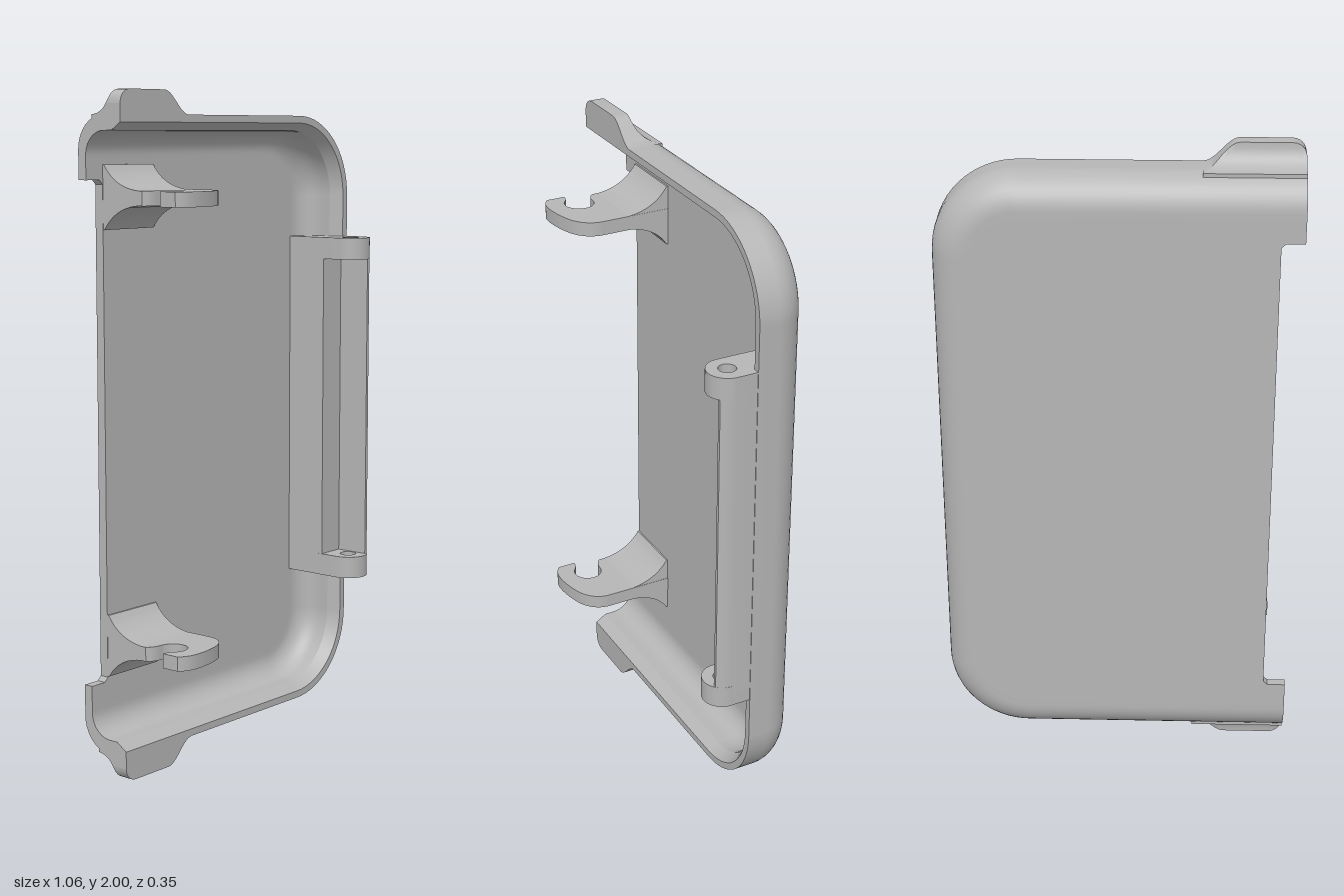
import * as THREE from 'three';
import { mergeGeometries, toCreasedNormals } from 'three/addons/utils/BufferGeometryUtils.js';

const LEFT = -0.53, RIGHT = 0.53, TOP = 1.93, BOTTOM = 0.07, CORNER = 0.25;
const RIM = -0.01, BACK = -0.174, FLOOR = -0.145;

const grey = new THREE.MeshStandardMaterial({ color: 0xb6b6b6, side: THREE.DoubleSide });
grey.name = 'grey plastic';

function mesh(name, geometry) {
  const m = new THREE.Mesh(geometry, grey);
  m.name = name;
  return m;
}

// U-shaped outline, inset by d: along the top, round the right end, back along the bottom
function outline(d) {
  const pts = [[LEFT, TOP - d]], n = 16, r = CORNER - d, cx = RIGHT - CORNER;
  for (const [cy, start] of [[TOP - CORNER, Math.PI / 2], [BOTTOM + CORNER, 0]])
    for (let i = 0; i <= n; i++) {
      const a = start - (i / n) * Math.PI / 2;
      pts.push([cx + r * Math.cos(a), cy + r * Math.sin(a)]);
    }
  pts.push([LEFT, BOTTOM + d]);
  return pts;
}

// Surface through rows of points, all rows equally long
function loft(rows) {
  const w = rows[0].length, index = [];
  for (let j = 0; j < rows.length - 1; j++)
    for (let i = 0; i < w - 1; i++) {
      const a = j * w + i, d = a + w;
      index.push(a, a + 1, d + 1, a, d + 1, d);
    }
  const g = new THREE.BufferGeometry();
  g.setAttribute('position', new THREE.Float32BufferAttribute(rows.flat(2), 3));
  g.setIndex(index);
  g.computeVertexNormals();
  return g;
}

const sweep = profile => loft(profile.map(([d, z]) => outline(d).map(([x, y]) => [x, y, z])));

// Quarter arc in (inset, z)
function arc(cd, cz, r, from, to, n = 10) {
  return Array.from({ length: n + 1 }, (_, i) => {
    const a = from + (to - from) * i / n;
    return [cd + r * Math.cos(a), cz + r * Math.sin(a)];
  });
}

const polygon = pts => new THREE.Shape(pts.map(([x, y]) => new THREE.Vector2(x, y)));
const extrude = (shape, depth) =>
  toCreasedNormals(new THREE.ExtrudeGeometry(shape, { depth, bevelEnabled: false, curveSegments: 20 }), 0.5);
// Plan shape in (x, z), filling y0..y1
const extrudeY = (shape, y0, y1) => extrude(shape, y1 - y0).rotateX(Math.PI / 2).translate(0, y1, 0);
// Side shape in (z, y), filling x0..x1
const extrudeX = (shape, x0, x1) => extrude(shape, x1 - x0).rotateY(-Math.PI / 2).translate(x1, 0, 0);

// Rounded wall with a stepped lip and its cut ends
function shellWall() {
  const outer = [[0, RIM], ...arc(0.1, BACK + 0.1, 0.1, Math.PI, Math.PI * 1.5), [0.13, BACK]];
  const inner = [[0.13, FLOOR], ...arc(0.115, FLOOR + 0.07, 0.07, Math.PI * 1.5, Math.PI), [0.045, -0.045]];
  const step = [[0.045, -0.045], [0.022, RIM]];
  const rim = [[0.022, RIM], [0, RIM]];
  const parts = [outer, inner, step, rim].map(sweep);
  for (const side of [1, -1]) {
    const edge = side > 0 ? TOP : BOTTOM;
    const cap = new THREE.ShapeGeometry(polygon([...outer, ...inner, [0.022, RIM]].map(([d, z]) => [z, edge - side * d])));
    cap.rotateY(-Math.PI / 2).translate(LEFT, 0, 0).deleteAttribute('uv');
    parts.push(cap);
  }
  return mergeGeometries(parts);
}

// Flat floor with the long notch in its open edge
function floorPlate() {
  const pts = [...outline(0.13), [LEFT, 0.265], [-0.475, 0.265], [-0.462, 0.278],
    [-0.462, 1.732], [-0.475, 1.745], [LEFT, 1.745]];
  return extrude(polygon(pts), FLOOR - BACK).translate(0, 0, BACK);
}

// Ear on the wall: its height follows x and a hollow fillet joins it to the back
function ear() {
  const r = 0.065, stations = [];
  for (let i = 0; i <= 6; i++) {
    const a = (i / 6) * Math.PI / 2;
    stations.push([-0.49 - 0.04 * Math.cos(a), 0.03 + 0.04 * Math.sin(a)]);
  }
  for (let i = 0; i <= 12; i++)
    stations.push([-0.345 + 0.105 * i / 12, 0.035 * (1 + Math.cos(Math.PI * i / 12))]);
  const rows = stations.map(([x, h]) => {
    const section = [[-0.015, RIM], [h, RIM]];
    for (let k = 8; k >= 0; k--) {
      const y = h * (k / 8) ** 2;
      section.push([y, -0.12 + Math.sqrt(r * r - Math.max(0, r - y) ** 2)]);
    }
    section.push([-0.015, -0.12]);
    return section.map(([y, z]) => [x, TOP + y, z]);
  });
  const end = new THREE.ShapeGeometry(polygon(rows[0].map(([, y, z]) => [z, y])));
  end.rotateY(-Math.PI / 2).translate(LEFT, 0, 0).deleteAttribute('uv');
  return mergeGeometries([toCreasedNormals(loft(rows), 0.6), end.toNonIndexed()]);
}

// Open clip hook, seen in plan
function hookShape() {
  const s = new THREE.Shape();
  s.moveTo(-0.461, -0.15);
  s.lineTo(-0.461, 0.007);
  s.quadraticCurveTo(-0.445, 0.027, -0.416, 0.027);
  s.absarc(-0.416, 0.072, 0.045, -Math.PI / 2, Math.PI * 0.72, false);
  s.quadraticCurveTo(-0.458, 0.092, -0.481, 0.092);
  s.lineTo(-0.481, 0.149);
  s.bezierCurveTo(-0.46, 0.168, -0.44, 0.172, -0.416, 0.172);
  s.bezierCurveTo(-0.38, 0.172, -0.33, 0.162, -0.302, 0.149);
  s.bezierCurveTo(-0.265, 0.13, -0.251, 0.1, -0.251, 0.072);
  s.lineTo(-0.251, -0.15);
  return s;
}

// Flared foot under a hook, seen from the side
function footShape() {
  const s = new THREE.Shape();
  s.moveTo(-0.15, -0.093);
  s.lineTo(-0.14, -0.093);
  s.quadraticCurveTo(-0.1, -0.03, -0.012, -0.0215);
  s.lineTo(-0.012, 0.0215);
  s.quadraticCurveTo(-0.1, 0.03, -0.14, 0.093);
  s.lineTo(-0.15, 0.093);
  return s;
}

// Hinge knuckle with a pin hole
function knuckleShape() {
  const s = new THREE.Shape();
  s.moveTo(0.406, -0.03);
  s.lineTo(0.528, -0.03);
  s.absarc(0.467, 0.052, 0.061, 0, Math.PI, false);
  s.lineTo(0.406, -0.03);
  s.holes.push(new THREE.Path().absarc(0.467, 0.052, 0.026, 0, Math.PI * 2, true));
  return s;
}

export function createModel() {
  const model = new THREE.Group();
  model.name = 'coverShell';
  model.add(mesh('shellWall', shellWall()), mesh('floorPlate', floorPlate()));

  // Ears at the open end, mirrored top to bottom
  const topEar = mesh('topEar', ear()), bottomEar = mesh('bottomEar', ear());
  bottomEar.scale.y = -1;
  bottomEar.position.y = 2;
  model.add(topEar, bottomEar);

  // Clip hooks with flared feet
  for (const [name, y] of [['upperHook', 1.695], ['lowerHook', 0.374]]) {
    const hook = new THREE.Group();
    hook.name = name;
    hook.add(mesh('hookPlate', extrudeY(hookShape(), -0.0215, 0.0215)),
      mesh('hookFoot', extrudeX(footShape(), -0.461, -0.252)));
    hook.position.y = y;
    model.add(hook);
  }

  // Hinge: base block, two knuckles and the guard wall between them
  const hinge = new THREE.Group();
  hinge.name = 'hinge';
  const base = polygon([[0.407, -0.15], [0.47, -0.15], [0.51, -0.11], [0.527, -0.0095], [0.407, -0.0095]]);
  const guard = polygon([[0.499, -0.03], [0.528, -0.03], [0.528, 0.052], [0.525, 0.07], [0.519, 0.085], [0.509, 0.096], [0.499, 0.096]]);
  hinge.add(mesh('hingeBase', extrudeY(base, 0.455, 1.55)),
    mesh('hingeGuard', extrudeY(guard, 0.5, 1.5)),
    mesh('upperKnuckle', extrudeY(knuckleShape(), 1.482, 1.55)),
    mesh('lowerKnuckle', extrudeY(knuckleShape(), 0.455, 0.524)));
  model.add(hinge);
  return model;
}
